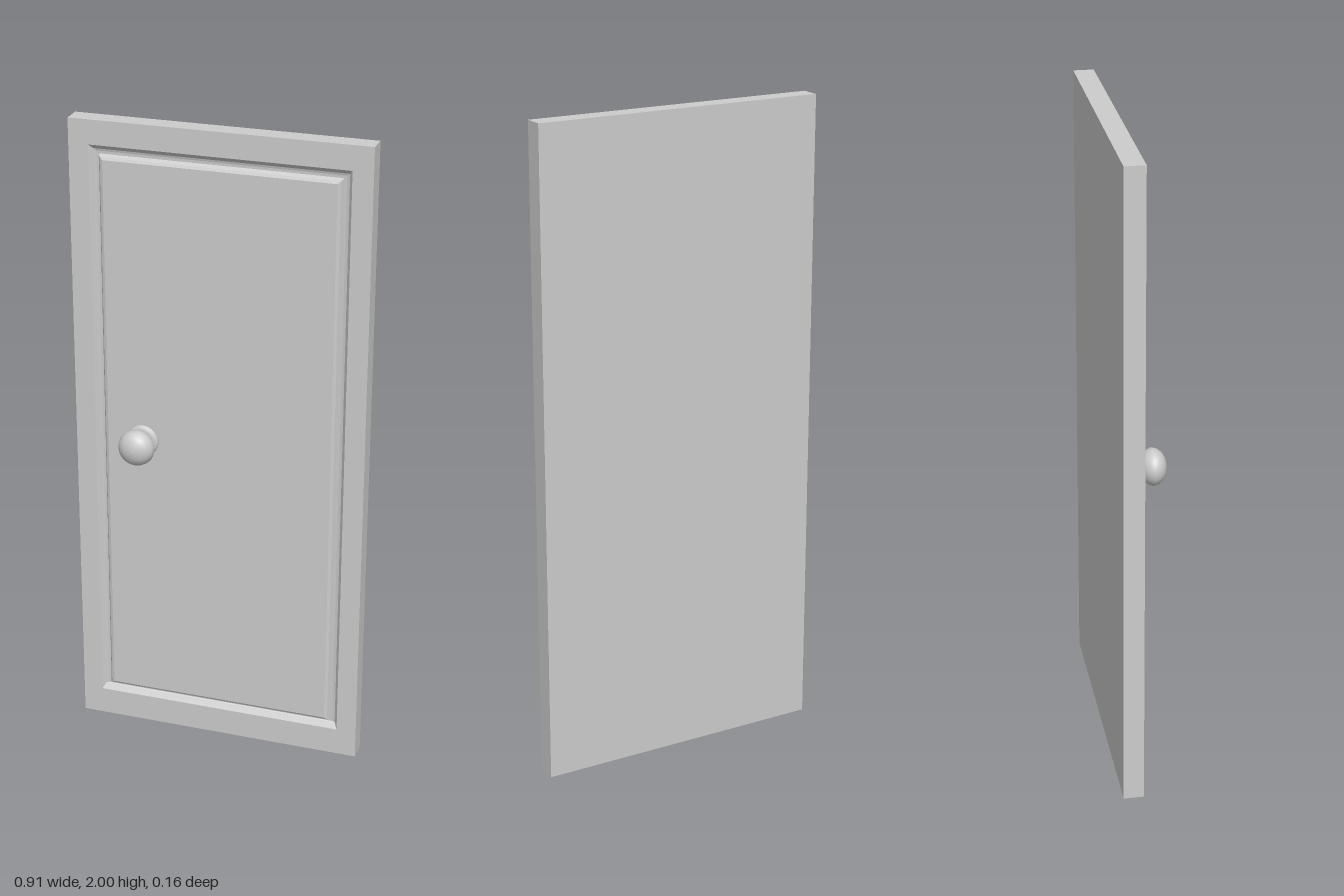
import * as THREE from 'three';

const grey = (opts = {}) => new THREE.MeshStandardMaterial({ color: 0xcccccc, ...opts });

// Slab skinned from rectangular rings [halfWidth, bottom, top, z], back to front
function ringSlab(rings) {
  const pos = [];
  const quad = (a, b, c, d) => pos.push(...a, ...b, ...c, ...a, ...c, ...d);
  const loops = rings.map(([w, y0, y1, z]) => [[-w, y0, z], [w, y0, z], [w, y1, z], [-w, y1, z]]);
  quad(...[...loops[0]].reverse());
  for (let i = 0; i < loops.length - 1; i++) {
    for (let j = 0; j < 4; j++) {
      const k = (j + 1) % 4;
      quad(loops[i][j], loops[i][k], loops[i + 1][k], loops[i + 1][j]);
    }
  }
  quad(...loops[loops.length - 1]);
  const geo = new THREE.BufferGeometry();
  geo.setAttribute('position', new THREE.Float32BufferAttribute(pos, 3));
  geo.computeVertexNormals();
  return geo;
}

export function createModel() {
  const door = new THREE.Group();
  door.name = 'door';

  // Door leaf: frame, moulded groove and raised centre panel
  const leaf = new THREE.Mesh(ringSlab([
    [0.457, 0, 2, -0.082],
    [0.457, 0, 2, -0.02],
    [0.395, 0.088, 1.925, -0.02],
    [0.385, 0.106, 1.912, -0.032],
    [0.376, 0.108, 1.905, -0.034],
    [0.368, 0.112, 1.897, -0.034],
    [0.362, 0.117, 1.89, -0.024],
    [0.353, 0.124, 1.882, -0.02],
  ]), grey({ flatShading: true }));
  leaf.name = 'doorLeaf';
  door.add(leaf);

  // Knob parts are turned about the z axis
  const knob = new THREE.Group();
  knob.name = 'knob';
  knob.position.set(-0.24, 1.005, 0);
  door.add(knob);
  const turned = (name, points) => {
    const geo = new THREE.LatheGeometry(points.map(([r, z]) => new THREE.Vector2(r, z)), 32);
    const mesh = new THREE.Mesh(geo.rotateX(Math.PI / 2), grey());
    mesh.name = name;
    knob.add(mesh);
  };

  // Round plate against the door
  turned('rosette', [[0, -0.022], [0.05, -0.022], [0.05, -0.016], [0.046, -0.011], [0.036, -0.007], [0, -0.005]]);
  // Neck flaring into the grip
  turned('neck', [[0.032, -0.01], [0.031, 0], [0.033, 0.01]]);
  // Flattened ball grip
  turned('grip', [[0, 0.004], [0.032, 0.006], [0.043, 0.015], [0.052, 0.026], [0.057, 0.039],
    [0.053, 0.054], [0.043, 0.067], [0.028, 0.076], [0.012, 0.08], [0, 0.081]]);

  return door;
}
